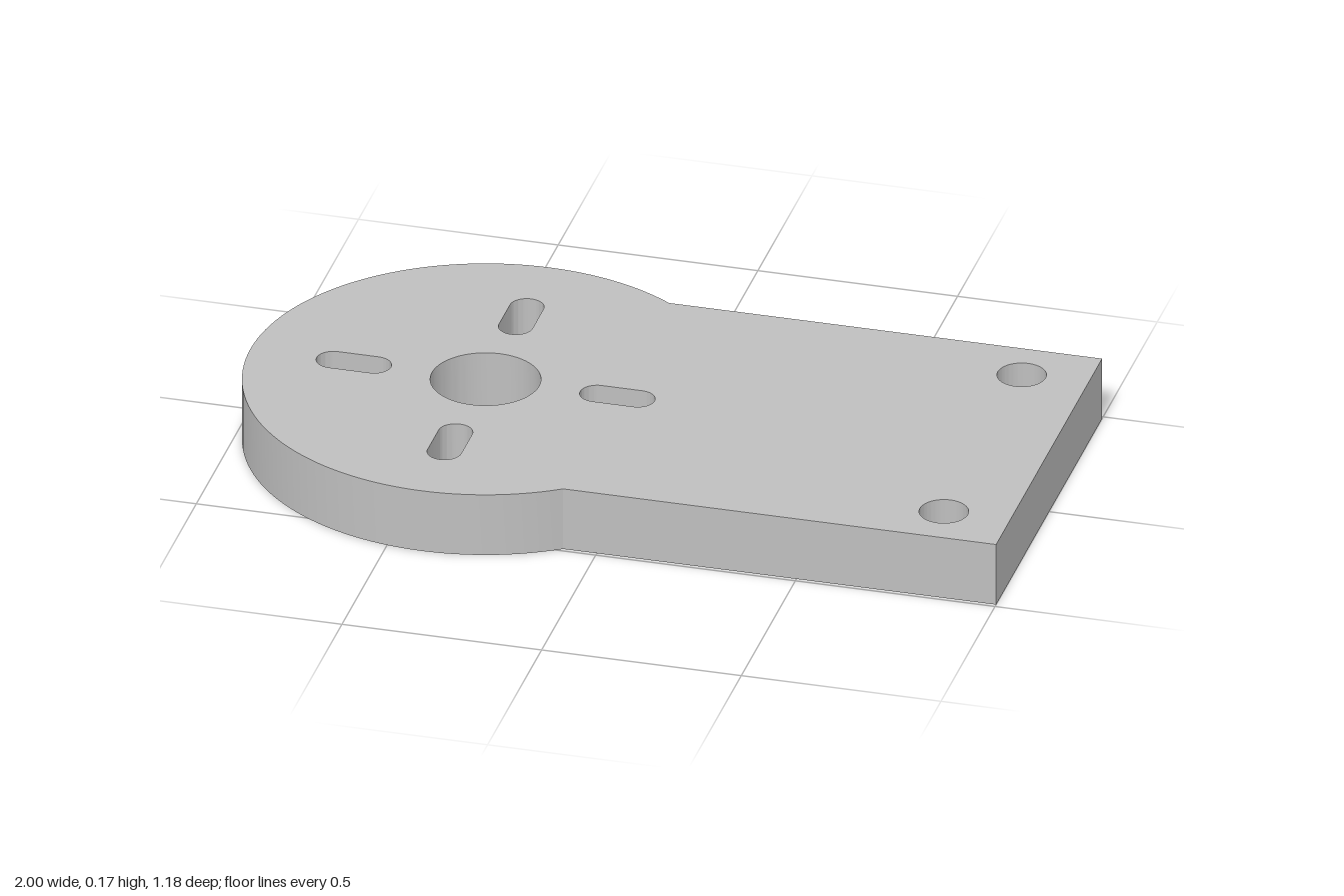
import * as THREE from 'three';
import { toCreasedNormals } from 'three/addons/utils/BufferGeometryUtils.js';

const HEIGHT = 0.165;
const HUB_X = -0.411, HUB_R = 0.589;   // round end
const HALF_WIDTH = 0.49;               // straight end
const SLOT_OFFSET = 0.33, SLOT_HALF = 0.051, SLOT_R = 0.042;

// Round hole
function roundHole(x, y, r) {
  return new THREE.Path().absarc(x, y, r, 0, Math.PI * 2, true);
}

// Round-ended slot lying along the given direction from the hub
function slotHole(angle) {
  const cx = HUB_X + Math.cos(angle) * SLOT_OFFSET;
  const cy = Math.sin(angle) * SLOT_OFFSET;
  const dx = Math.cos(angle) * SLOT_HALF, dy = Math.sin(angle) * SLOT_HALF;
  const path = new THREE.Path();
  path.absarc(cx + dx, cy + dy, SLOT_R, angle - Math.PI / 2, angle + Math.PI / 2, false);
  path.absarc(cx - dx, cy - dy, SLOT_R, angle + Math.PI / 2, angle + Math.PI * 1.5, false);
  path.closePath();
  return path;
}

export function createModel() {
  const metal = new THREE.MeshStandardMaterial({ color: 0xbfbfbf });
  metal.name = 'grey metal';

  // Outline: a large arc merging into a rectangular tongue
  const join = Math.asin(HALF_WIDTH / HUB_R);
  const outline = new THREE.Shape();
  outline.moveTo(1, -HALF_WIDTH);
  outline.lineTo(1, HALF_WIDTH);
  outline.absarc(HUB_X, 0, HUB_R, join, Math.PI * 2 - join, false);
  outline.closePath();

  // Centre bore, four slots around it, two mounting holes
  outline.holes.push(roundHole(HUB_X, 0, 0.134));
  for (let i = 0; i < 4; i++) outline.holes.push(slotHole(i * Math.PI / 2));
  for (const side of [-1, 1]) outline.holes.push(roundHole(0.834, side * 0.36, 0.06));

  const extruded = new THREE.ExtrudeGeometry(outline, {
    depth: HEIGHT, bevelEnabled: false, curveSegments: 48,
  });
  extruded.rotateX(-Math.PI / 2);

  const plate = new THREE.Mesh(toCreasedNormals(extruded, Math.PI / 7), metal);
  plate.name = 'mountingPlate';

  const group = new THREE.Group();
  group.name = 'motorMount';
  group.add(plate);
  return group;
}
